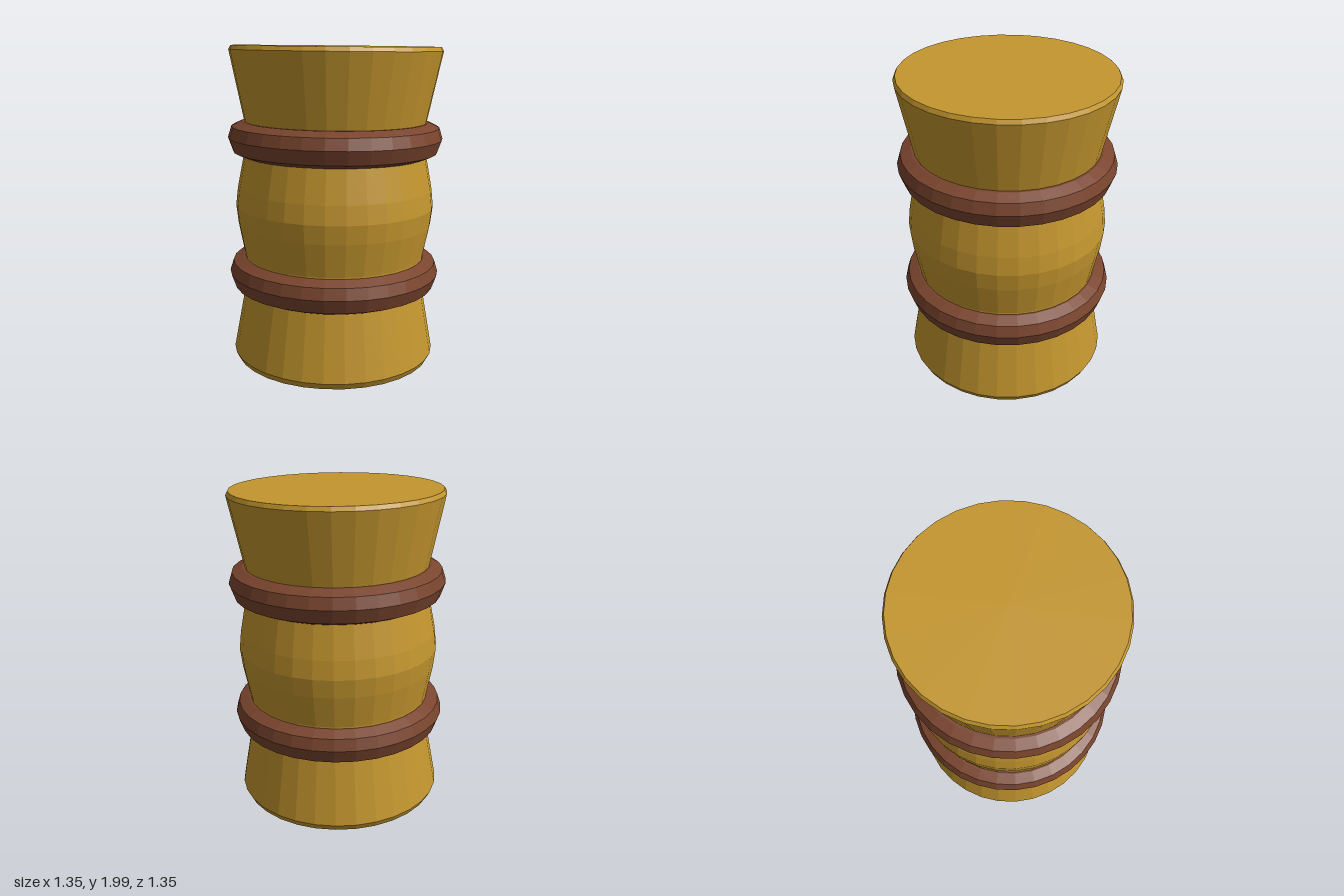
import * as THREE from 'three';

const SEGMENTS = 32;

function turned(name, profile, material) {
  const points = profile.map(([r, y]) => new THREE.Vector2(r, y));
  const mesh = new THREE.Mesh(new THREE.LatheGeometry(points, SEGMENTS), material);
  mesh.name = name;
  return mesh;
}

export function createModel() {
  const gold = new THREE.MeshStandardMaterial({ color: 0xc4962e, flatShading: true });
  const brown = new THREE.MeshStandardMaterial({ color: 0x7a452e, flatShading: true });
  const model = new THREE.Group();
  model.name = 'bandedColumn';

  // Flared ends with small bevels and a bulging waist
  model.add(turned('body', [
    [0, -0.99], [0.63, -0.99], [0.65, -0.95],
    [0.575, -0.54], [0.575, -0.32],
    [0.615, -0.115], [0.628, 0], [0.615, 0.115],
    [0.575, 0.32], [0.57, 0.53],
    [0.66, 0.965], [0.647, 0.99], [0, 0.99],
  ], gold));

  // Two bevelled bands around the necks
  for (const [name, y] of [['lowerBand', -0.435], ['upperBand', 0.425]]) {
    const band = turned(name, [
      [0.54, -0.105], [0.585, -0.105], [0.642, -0.08], [0.672, 0.005],
      [0.65, 0.075], [0.585, 0.105], [0.54, 0.105], [0.54, -0.105],
    ], brown);
    band.position.y = y;
    model.add(band);
  }

  // The whole piece leans very slightly
  model.rotation.set(-0.01, 0, -0.005);
  model.position.y = 1.0;
  const root = new THREE.Group();
  root.add(model);
  // Stand it on the ground
  root.position.y = -new THREE.Box3().setFromObject(root, true).min.y;
  return root;
}
